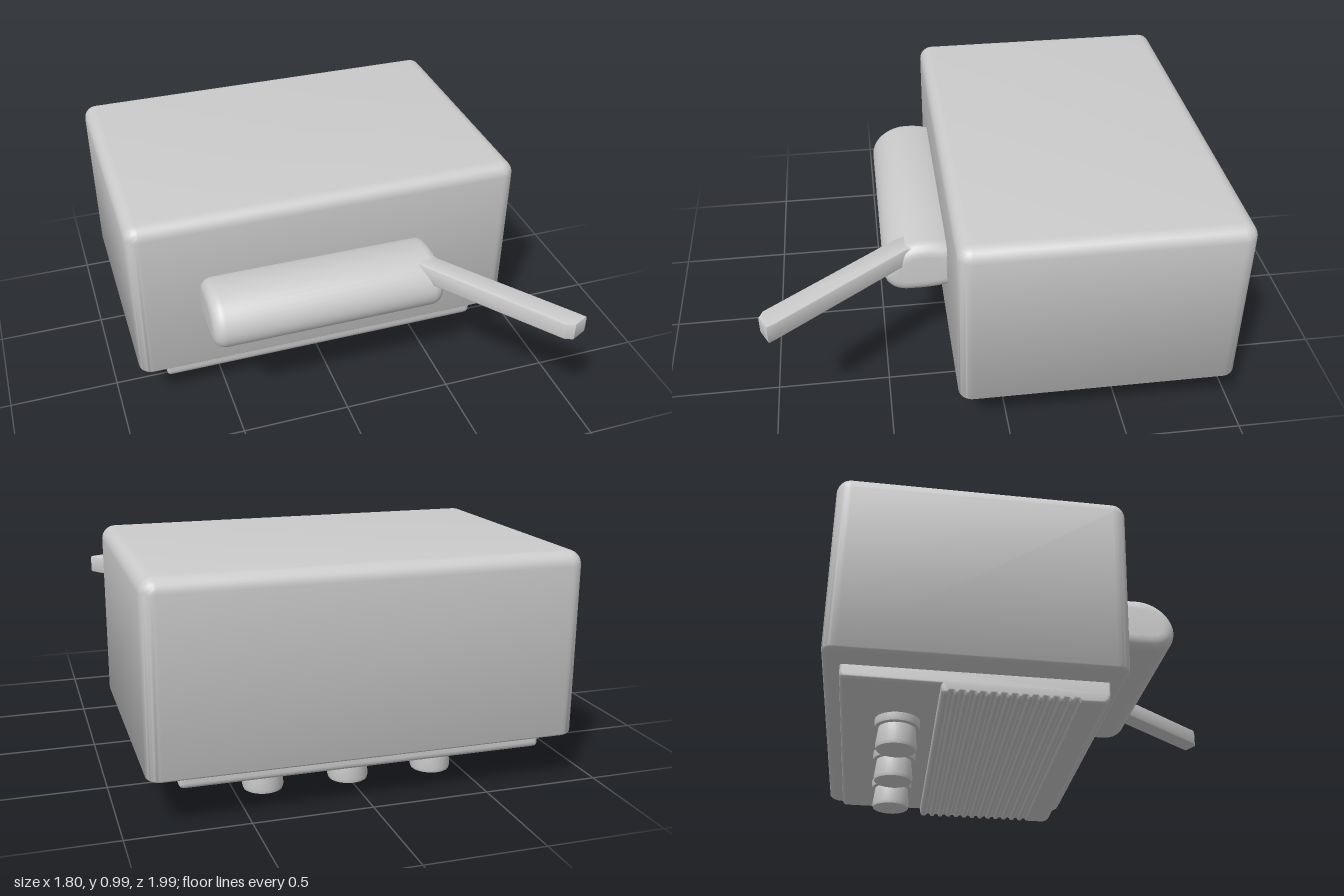
import * as THREE from 'three';
import { RoundedBoxGeometry } from 'three/addons/geometries/RoundedBoxGeometry.js';
import { toCreasedNormals } from 'three/addons/utils/BufferGeometryUtils.js';

const material = new THREE.MeshStandardMaterial({ color: 0xcccccc });

function part(name, geometry, x = 0, y = 0, z = 0) {
  const mesh = new THREE.Mesh(geometry, material);
  mesh.name = name;
  mesh.position.set(x, y, z);
  return mesh;
}

// Extrudes a (z, y) side profile across x from x0 to x1, with rounded ends.
function sideExtrude(shape, x0, x1, size, thickness) {
  const g = new THREE.ExtrudeGeometry(shape, {
    depth: x1 - x0 - 2 * thickness, bevelEnabled: true, bevelSize: size, bevelOffset: -size,
    bevelThickness: thickness, bevelSegments: 5, curveSegments: 10,
  });
  g.rotateY(-Math.PI / 2);
  g.translate(x1 - thickness, 0, 0);
  return toCreasedNormals(g, 0.7);
}

// Body: soft upper edges, tighter lower edges
function bodyGeometry() {
  const r = 0.06, squeeze = 0.4, bottom = 0.195, top = 0.99;
  const height = top - bottom + r * (1 - squeeze);
  const g = new RoundedBoxGeometry(1.8, height, 1.205, 5, r);
  const p = g.attributes.position, edge = -height / 2 + r;
  for (let i = 0; i < p.count; i++) {
    const y = p.getY(i);
    if (y < edge) p.setY(i, edge + (y - edge) * squeeze);
  }
  g.translate(0, top - height / 2, 0);
  return toCreasedNormals(g, 0.9);
}

// Underside tray: ribbed thick front section, stepping up to a thin rear section
function trayShape() {
  const s = new THREE.Shape();
  s.moveTo(0.155, 0.23);
  s.lineTo(0.155, 0.14);
  s.quadraticCurveTo(0.15, 0.1, 0.11, 0.1);
  s.lineTo(0.03, 0.1);
  const ribs = 13, pitch = 0.54 / ribs;
  for (let i = 0; i < ribs; i++) {
    const z = 0.03 - i * pitch;
    s.lineTo(z - pitch * 0.2, 0.111);
    s.lineTo(z - pitch * 0.45, 0.111);
    s.lineTo(z - pitch * 0.65, 0.1);
    s.lineTo(z - pitch, 0.1);
  }
  s.quadraticCurveTo(-0.525, 0.105, -0.525, 0.138);
  s.lineTo(-0.9, 0.138);
  s.quadraticCurveTo(-0.92, 0.14, -0.92, 0.165);
  s.lineTo(-0.92, 0.23);
  return s;
}

// Front housing: domed top, rounded front, flattened underside
function housingShape() {
  const s = new THREE.Shape();
  s.moveTo(0.19, 0.48);
  s.quadraticCurveTo(0.24, 0.46, 0.33, 0.46);
  s.lineTo(0.38, 0.46);
  s.bezierCurveTo(0.45, 0.46, 0.492, 0.5, 0.492, 0.56);
  s.bezierCurveTo(0.492, 0.63, 0.42, 0.705, 0.32, 0.705);
  s.quadraticCurveTo(0.24, 0.705, 0.19, 0.68);
  return s;
}

// Lever: angled bar in plan (x, z), extruded upward
function leverGeometry() {
  const s = new THREE.Shape();
  [[0.33, 0.35], [0.37, 0.44], [0.775, 0.985], [0.81, 1.0], [0.88, 0.965], [0.86, 0.935], [0.45, 0.39], [0.42, 0.28]]
    .forEach(([x, z], i) => (i ? s.lineTo(x, -z) : s.moveTo(x, -z)));
  const b = 0.008;
  const g = new THREE.ExtrudeGeometry(s, {
    depth: 0.085 - 2 * b, bevelSize: b, bevelOffset: -b, bevelThickness: b, bevelSegments: 2,
  });
  g.rotateX(-Math.PI / 2);
  g.translate(0, 0.605 + b, 0);
  return toCreasedNormals(g, 0.6);
}

// Knob: tapered barrel with a collar against the tray
function knobGeometry() {
  const profile = [[0, 0], [0.07, 0], [0.083, 0.005], [0.087, 0.02], [0.078, 0.1], [0.092, 0.104],
    [0.095, 0.115], [0.095, 0.15]].map(([r, y]) => new THREE.Vector2(r, y));
  return toCreasedNormals(new THREE.LatheGeometry(profile, 32), 0.6);
}

export function createModel() {
  const model = new THREE.Group();
  model.name = 'boxAppliance';
  model.add(
    part('body', bodyGeometry(), 0, 0, -0.3875),
    part('undersideTray', sideExtrude(trayShape(), -0.77, 0.765, 0.012, 0.02)),
    part('frontHousing', sideExtrude(housingShape(), -0.6, 0.465, 0.055, 0.055)),
    part('lever', leverGeometry()),
  );
  const knob = knobGeometry();
  [-0.38, 0, 0.375].forEach((x) => model.add(part('knob', knob, x, 0, -0.68)));
  return model;
}
